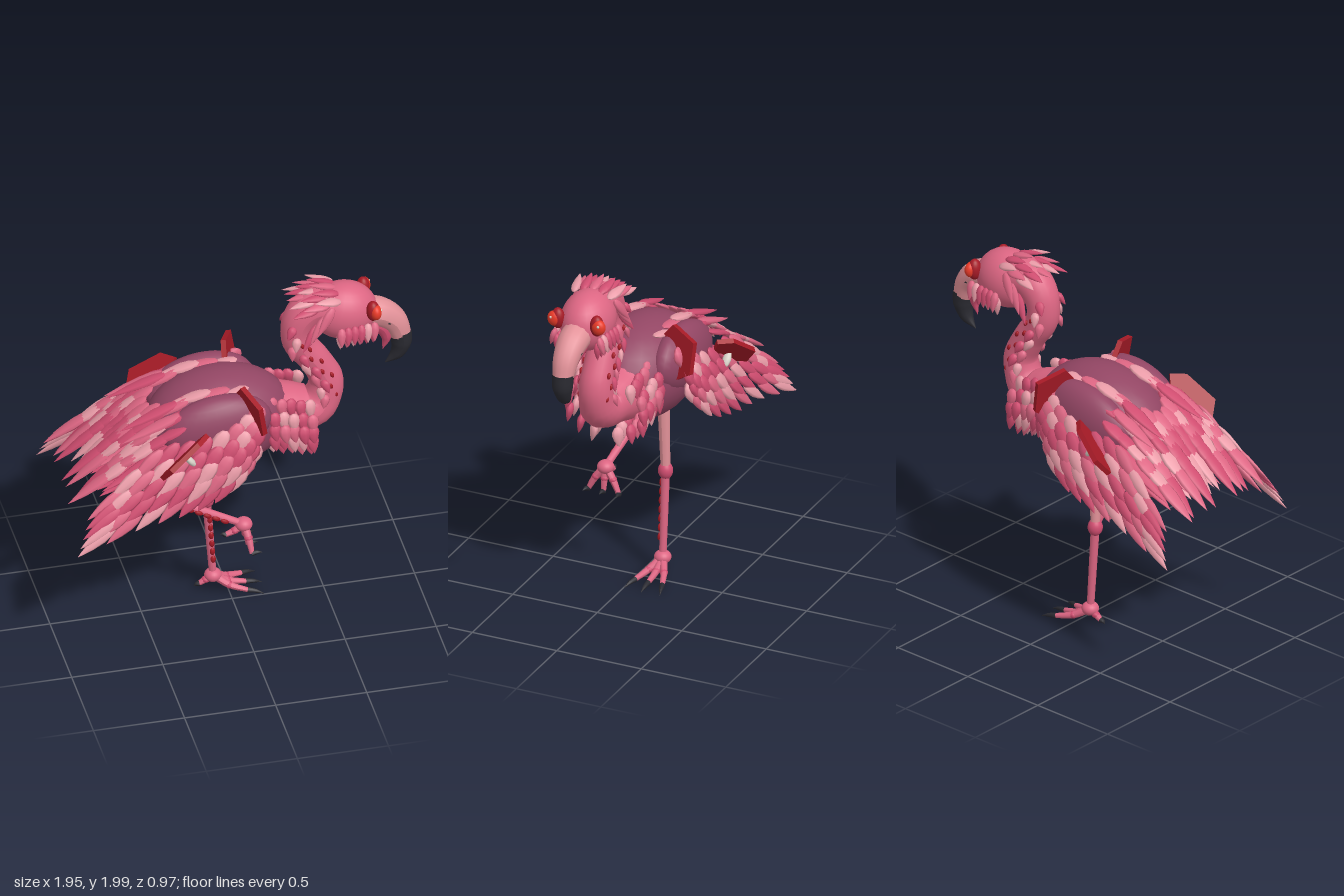
import * as THREE from 'three';

const V = (x, y, z = 0) => new THREE.Vector3(x, y, z);
const mat = (color) => new THREE.MeshStandardMaterial({ color });
const M = {
  pink: mat(0xdd6683), light: mat(0xea9ca8), deep: mat(0xd04d70), mauve: mat(0x934664),
  red: mat(0xa61a26), eye: mat(0xe83a28), black: mat(0x2a2a31), beak: mat(0xe39299), bone: mat(0xd8d2c8),
};
const PLUMES = [M.pink, M.light, M.deep, M.pink, M.deep, M.light, M.deep];
const ball = new THREE.SphereGeometry(1, 24, 16);
const bead = new THREE.SphereGeometry(1, 8, 6);

// Leaf-shaped feather: unit length along +y, pointed at the tip
const leaf = new THREE.LatheGeometry(
  [[0, 0], [0.28, 0.06], [0.46, 0.22], [0.5, 0.4], [0.36, 0.66], [0.15, 0.88], [0, 1]]
    .map(([x, y]) => new THREE.Vector2(x, y)), 8);

function add(parent, name, geometry, material, pos) {
  const mesh = new THREE.Mesh(geometry, material);
  mesh.name = name;
  if (pos) mesh.position.copy(pos);
  parent.add(mesh);
  return mesh;
}

function ellipsoid(parent, name, pos, rx, ry, rz, material, tilt = 0, geometry = ball) {
  const mesh = add(parent, name, geometry, material, pos);
  mesh.scale.set(rx, ry, rz);
  mesh.rotation.z = tilt;
  return mesh;
}

// Feather from base along dir, lying flat against the surface with the given normal
function feather(parent, name, base, dir, length, width, normal, material, thick = 0.35) {
  const mesh = add(parent, name, leaf, material, base);
  const y = dir.clone().normalize();
  const x = y.clone().cross(normal).normalize();
  mesh.quaternion.setFromRotationMatrix(new THREE.Matrix4().makeBasis(x, y, x.clone().cross(y)));
  mesh.scale.set(width, length, width * thick);
}

// Round tube through points whose radius follows a list
function taper(parent, name, points, radii, material, segs = 20, sides = 14) {
  const curve = new THREE.CatmullRomCurve3(points);
  const geo = new THREE.TubeGeometry(curve, segs, 1, sides);
  const pos = geo.attributes.position, v = V(0, 0);
  for (let i = 0; i < pos.count; i++) {
    const t = Math.floor(i / (sides + 1)) / segs, f = t * (radii.length - 1);
    const k = Math.min(Math.floor(f), radii.length - 2);
    const r = THREE.MathUtils.lerp(radii[k], radii[k + 1], f - k), c = curve.getPointAt(t);
    v.fromBufferAttribute(pos, i).sub(c).multiplyScalar(r).add(c);
    pos.setXYZ(i, v.x, v.y, v.z);
  }
  geo.computeVertexNormals();
  add(parent, name, geo, material);
  return curve;
}

// Six-sided slab spanned by the axes u and w
function plate(parent, center, u, w, long, wide) {
  const s = new THREE.Shape([[-0.5, -0.2], [-0.25, -0.5], [0.3, -0.45], [0.5, 0], [0.3, 0.45], [-0.3, 0.5]]
    .map(([a, b]) => new THREE.Vector2(a * long, b * wide)));
  const geo = new THREE.ExtrudeGeometry(s, { depth: 0.028, bevelEnabled: false }).translate(0, 0, -0.014);
  const x = u.clone().normalize(), z = x.clone().cross(w).normalize();
  const mesh = add(parent, 'redPlate', geo, M.red, center);
  mesh.quaternion.setFromRotationMatrix(new THREE.Matrix4().makeBasis(x, z.clone().cross(x), z));
}

// Dark red scales along a shank
function shankScales(parent, a, b, offset) {
  for (let i = 0; i < 7; i++) {
    const p = a.clone().lerp(b, 0.14 + i * 0.105).add(offset);
    const m = ellipsoid(parent, 'shankScale', p, 0.015, 0.024, 0.011, M.red, 0, bead);
    m.quaternion.setFromUnitVectors(V(0, 1, 0), b.clone().sub(a).normalize());
  }
}

function toe(parent, points) {
  const [a, b, c, d] = points;
  taper(parent, 'toe', [a, b, c], [0.024, 0.02, 0.014], M.pink, 8, 8);
  ellipsoid(parent, 'toeJoint', b, 0.024, 0.02, 0.023, M.deep, 0, bead);
  taper(parent, 'claw', [c, c.clone().lerp(d, 0.5).add(V(0, 0.005)), d], [0.016, 0.011, 0.001], M.black, 6, 8);
}

function buildWing(s) {
  const wing = new THREE.Group();
  wing.name = s > 0 ? 'leftWing' : 'rightWing';
  const P = (x, y, z) => V(x, y, z * s);
  ellipsoid(wing, 'wingBase', P(-0.13, 1.3, 0.2), 0.3, 0.19, 0.115, M.mauve, 0.15);
  const upper = new THREE.CatmullRomCurve3([P(0.09, 1.45, 0.25), P(-0.04, 1.37, 0.295), P(-0.24, 1.32, 0.31), P(-0.43, 1.3, 0.31), P(-0.67, 1.1, 0.36)]);
  const lower = new THREE.CatmullRomCurve3([P(0.06, 1.24, 0.29), P(-0.03, 1.13, 0.34), P(-0.2, 1.07, 0.37), P(-0.42, 1.03, 0.39), P(-0.74, 0.92, 0.43)]);
  const rows = 5, cols = 10;
  for (let r = 0; r < rows; r++) {
    for (let i = 0; i < cols; i++) {
      const u = Math.min(1, (i + (r % 2) * 0.5) / (cols - 1)), v = r / (rows - 1);
      const base = upper.getPoint(u).lerp(lower.getPoint(u), v);
      base.z += s * 0.05 * Math.sin(Math.PI * (0.12 + 0.7 * v)) * (1 - 0.6 * u);
      const dir = P(-0.38 - 0.47 * u, -0.86 + 0.3 * u, 0.15);
      feather(wing, 'wingFeather', base, dir, 0.16 + 0.11 * u, 0.105 - 0.04 * u, P(0, 0.5, 1), PLUMES[(i * 5 + r * 3) % 7], 0.45);
    }
  }
  // Red plates and the exposed bone beside the rear one
  plate(wing, P(0.045, 1.405, 0.265), V(0.05, -0.28, 0), P(0.07, 0.02, 0.2), 0.3, 0.23);
  plate(wing, P(-0.355, 1.275, 0.4), V(0.27, 0.2, -0.07 * s), P(-0.045, 0.06, 0.13), 0.34, 0.14);
  ellipsoid(wing, 'wingBone', P(-0.32, 1.23, 0.375), 0.05, 0.018, 0.025, M.bone, -0.9, bead);
  return wing;
}

function buildTail(root) {
  const tail = new THREE.Group();
  tail.name = 'tailAndBack';
  root.add(tail);
  // Lanes of overlapping feathers: [z, starting fraction, tip x, tip y]
  const lanes = [[0.03, 0.5, -0.88, 1.03], [0.135, 0, -0.95, 1.0], [0.2, 0.16, -0.92, 0.97], [0.08, 0.42, -0.96, 1.0], [0.265, 0.33, -0.97, 0.99]];
  lanes.forEach(([z, start, tipX, tipY], l) => [1, -1].forEach((s) => {
    const drop = z * z * 1.6;
    const path = new THREE.CatmullRomCurve3([
      V(0.06, 1.51 - drop, z * s), V(-0.2, 1.515 - drop, z * s), V(-0.45, 1.4 - drop * 0.8, z * s), V(tipX, tipY, z * s * 1.08)]);
    const n = Math.round(8 * (1 - start)) + 1, tip = path.getPointAt(1);
    for (let i = 0; i < n; i++) {
      const t = start + (0.72 - start) * i / (n - 1);
      const p = path.getPointAt(t), dir = tip.clone().sub(p).normalize().lerp(path.getTangentAt(t), 0.6);
      dir.z += 0.06 * Math.sin(i * 2.3 + l);
      const last = i === n - 1;
      feather(tail, 'backFeather', p, last ? tip.clone().sub(p) : dir, last ? tip.distanceTo(p) : 0.25, 0.09, V(0.4, 1, 0), PLUMES[(i * 2 + l) % 7]);
    }
    if (l === 1 || l === 2) feather(tail, 'raisedFeather', V(-0.32, 1.48 - drop, z * s), V(-0.9, -0.34, 0.06 * s), 0.36, 0.085, V(0.4, 1, 0), PLUMES[l + 1]);
    // Lower layers that thicken the tail
    for (const k of [0, 1]) {
      feather(tail, 'underTailFeather', V(-0.34 - k * 0.1, 1.26 - k * 0.08, z * s * 0.9), V(-0.85, -0.46, 0.05 * s), 0.5 - k * 0.1, 0.09, V(0, 1, 0.3 * s), PLUMES[(l + k * 2) % 7]);
    }
  }));
}

function buildNeckAndHead(root) {
  const neck = new THREE.Group(), head = new THREE.Group();
  neck.name = 'neck'; head.name = 'head';
  root.add(neck, head);
  const curve = taper(neck, 'neckTube', [V(0.05, 1.22), V(0.3, 1.21), V(0.46, 1.22), V(0.515, 1.36), V(0.45, 1.51),
    V(0.36, 1.65), V(0.375, 1.79), V(0.46, 1.86), V(0.6, 1.83)],
  [0.22, 0.18, 0.13, 0.1, 0.088, 0.085, 0.09, 0.105, 0.13], M.pink, 48, 20);
  // Scales and beads down both sides of the neck
  for (let i = 0; i < 10; i++) {
    const t = 0.41 + i * 0.042, p = curve.getPointAt(t), T = curve.getTangentAt(t);
    for (const s of [1, -1]) {
      const place = (a, r) => V(0, 0, s).multiplyScalar(Math.sin(a) * r).addScaledVector(V(0, 0, 1).cross(T), Math.cos(a) * r);
      const o = place(i % 2 ? 1.0 : 1.35, 0.086);
      feather(neck, 'neckScale', p.clone().add(o), T.clone().negate().addScaledVector(o, 4), 0.085, 0.052, o, PLUMES[i % 7], 0.7);
      if (i < 8) ellipsoid(neck, 'neckBead', p.clone().add(place(i % 2 ? 1.65 : 2.0, 0.09)), 0.011, 0.018, 0.011, M.red, 0.4, bead);
    }
  }
  // Hanging collar around the chest
  for (let j = 0; j < 5; j++) for (let k = 0; k < 6; k++) for (const s of [1, -1]) {
    const a = 0.7 + k * 0.43, x = 0.18 + j * 0.052;
    const o = V(0, Math.cos(a) * 0.155, Math.sin(a) * (0.215 + 0.012 * ((j + k) % 2)) * s);
    feather(neck, 'collarFeather', o.clone().add(V(x, 1.275 - j * 0.012)), V(0.1, -1, 0.15 * s), 0.115, 0.072, o.setX(0.05), PLUMES[(j * 3 + k * 2) % 7], 0.6);
  }

  ellipsoid(head, 'skull', V(0.61, 1.81), 0.185, 0.165, 0.145, M.pink, -0.15);
  for (const s of [1, -1]) {
    ellipsoid(head, 'eyeSocket', V(0.745, 1.855, 0.115 * s), 0.036, 0.06, 0.038, M.red);
    ellipsoid(head, 'eye', V(0.757, 1.855, 0.13 * s), 0.031, 0.044, 0.04, M.eye);
    ellipsoid(head, 'eyeGlint', V(0.784, 1.87, 0.14 * s), 0.006, 0.008, 0.008, M.bone, 0, bead);
    ellipsoid(head, 'nostril', V(0.845, 1.725, 0.066 * s), 0.017, 0.009, 0.01, M.black, -0.4, bead);
    // Cheek rows
    for (let i = 0; i < 6; i++) for (const r of [0, 1]) {
      feather(head, 'cheekFeather', V(0.565 + i * 0.037, 1.79 - r * 0.03, (0.148 - r * 0.008 - i * 0.004) * s),
        V(-0.05, -1, (0.3 - 0.3 * r) * s), 0.11, 0.052, V(0, 0.2, s), PLUMES[(i * 2 + r) % 7], 0.7);
    }
    // Long plumes behind the cheek
    for (let i = 0; i < 3; i++) {
      feather(head, 'napePlume', V(0.53 - i * 0.04, 1.91 - i * 0.05, (0.115 - i * 0.006) * s), V(-0.55, -0.83, 0.25 * s), 0.18, 0.058, V(0, 0.1, s), PLUMES[i * 3], 0.6);
    }
  }
  // Crest swept back over the crown
  for (let k = -2; k <= 2; k++) for (let r = 0; r < 3; r++) {
    const z = k * 0.05;
    feather(head, 'crestFeather', V(0.575 - r * 0.06, 1.96 - r * 0.012 - z * z * 2.5, z), V(-1, 0.22 - r * 0.18, z * 2.5), 0.16, 0.06, V(0, 1, z * 4), PLUMES[(k + 3 + r * 2) % 7], 0.5);
  }
  // Hooked bill
  taper(head, 'upperBill', [V(0.71, 1.79), V(0.82, 1.755), V(0.89, 1.69), V(0.925, 1.6)], [0.085, 0.082, 0.07, 0.057], M.beak);
  taper(head, 'billTip', [V(0.923, 1.625), V(0.928, 1.55), V(0.905, 1.48), V(0.838, 1.42)], [0.06, 0.056, 0.036, 0.001], M.black);
  taper(head, 'lowerBill', [V(0.74, 1.72), V(0.82, 1.66), V(0.845, 1.59), V(0.825, 1.51)], [0.06, 0.045, 0.03, 0.001], M.deep);
}

function buildLegs(root) {
  const stand = new THREE.Group(), raised = new THREE.Group();
  stand.name = 'standingLeg'; raised.name = 'raisedLeg';
  root.add(stand, raised);
  const leg = (g, hip, knee, ankle) => {
    taper(g, 'thigh', [hip, knee], [0.036, 0.026], M.beak, 4);
    taper(g, 'shank', [knee, ankle], [0.024, 0.02], M.pink, 4);
    ellipsoid(g, 'knee', knee, 0.041, 0.05, 0.041, M.deep);
    ellipsoid(g, 'ankle', ankle, 0.047, 0.038, 0.047, M.pink);
  };
  // Standing leg on the right
  const k1 = V(-0.115, 0.6, -0.11), a1 = V(-0.08, 0.1, -0.11);
  leg(stand, V(-0.11, 1.05, -0.1), k1, a1);
  shankScales(stand, k1, a1, V(0.005, 0, 0.02));
  for (const s of [-1, 0, 1]) {
    const reach = s ? 0.93 : 1, z = (d) => -0.11 + s * d;
    toe(stand, [a1, V(0.0 * reach, 0.05, z(0.045)), V(0.1 * reach, 0.026, z(0.08)), V(0.19 * reach, 0.006, z(0.105))]);
  }
  toe(stand, [a1, V(-0.12, 0.075, -0.11), V(-0.155, 0.055, -0.11), V(-0.185, 0.04, -0.11)]);
  // Folded leg on the left
  const k2 = V(-0.42, 0.83, 0.125), a2 = V(0.02, 0.62, 0.18);
  leg(raised, V(-0.14, 1.02, 0.12), k2, a2);
  shankScales(raised, k2, a2, V(-0.004, -0.01, 0.02));
  for (const s of [-1, 0, 1]) {
    const z = (d) => 0.18 + s * d;
    toe(raised, [a2, V(0.035, 0.56, z(0.05)), V(0.045, 0.485, z(0.09)), V(0.1, 0.49, z(0.1))]);
  }
  toe(raised, [a2, V(-0.03, 0.585, 0.18), V(-0.08, 0.565, 0.18), V(-0.11, 0.57, 0.18)]);
}

export function createModel() {
  const root = new THREE.Group();
  root.name = 'wadingBird';
  ellipsoid(root, 'body', V(-0.08, 1.23), 0.4, 0.285, 0.28, M.mauve, 0.05);
  root.add(buildWing(1), buildWing(-1));
  buildTail(root);
  buildNeckAndHead(root);
  buildLegs(root);
  return root;
}
